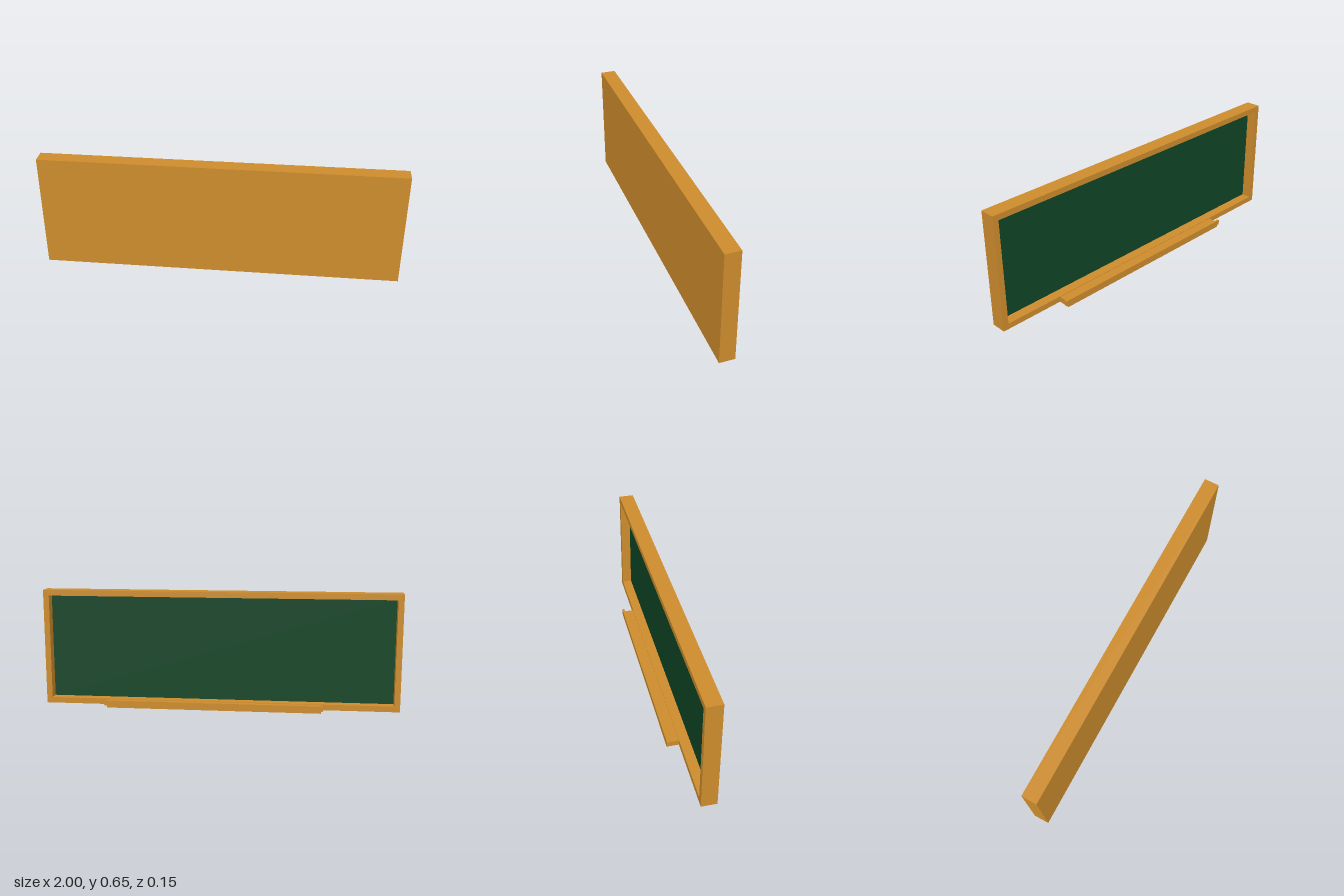
import * as THREE from 'three';

const wood = new THREE.MeshStandardMaterial({ color: 0xcd8c2c });
const green = new THREE.MeshStandardMaterial({ color: 0x0f4424 });

// Box given by its minimum and maximum corners
function box(name, min, max, material) {
  const size = max.map((v, i) => v - min[i]);
  const mesh = new THREE.Mesh(new THREE.BoxGeometry(...size), material);
  mesh.position.set(...max.map((v, i) => (v + min[i]) / 2));
  mesh.name = name;
  return mesh;
}

export function createModel() {
  const group = new THREE.Group();
  group.name = 'chalkboard';

  const bottom = 0.003, top = 0.655, border = 0.032;
  const rimZ = -0.008, boardZ = 0.047, panelZ = 0.077;

  // Wooden rim around the recessed writing surface
  const outline = new THREE.Shape([
    new THREE.Vector2(-1, bottom), new THREE.Vector2(1, bottom),
    new THREE.Vector2(1, top), new THREE.Vector2(-1, top),
  ]);
  const x = 1 - border, y0 = bottom + border, y1 = top - border;
  outline.holes.push(new THREE.Path([
    new THREE.Vector2(-x, y0), new THREE.Vector2(-x, y1),
    new THREE.Vector2(x, y1), new THREE.Vector2(x, y0),
  ]));
  const frame = new THREE.Mesh(
    new THREE.ExtrudeGeometry(outline, { depth: panelZ - rimZ, bevelEnabled: false }), wood);
  frame.position.z = rimZ;
  frame.name = 'frame';
  group.add(frame);

  // Panel closing the frame, and the writing surface on its inner side
  group.add(box('panel', [-x, y0, boardZ + 0.005], [x, y1, panelZ], wood));
  group.add(box('writingSurface', [-x, y0, boardZ], [x, y1, boardZ + 0.005], green));

  // Chalk tray with a raised lip along its outer edge
  group.add(box('tray', [-0.567, 0, -0.0735], [0.633, 0.032, 0], wood));
  group.add(box('trayLip', [-0.58, 0.012, -0.075], [0.647, 0.041, -0.063], wood));

  return group;
}
